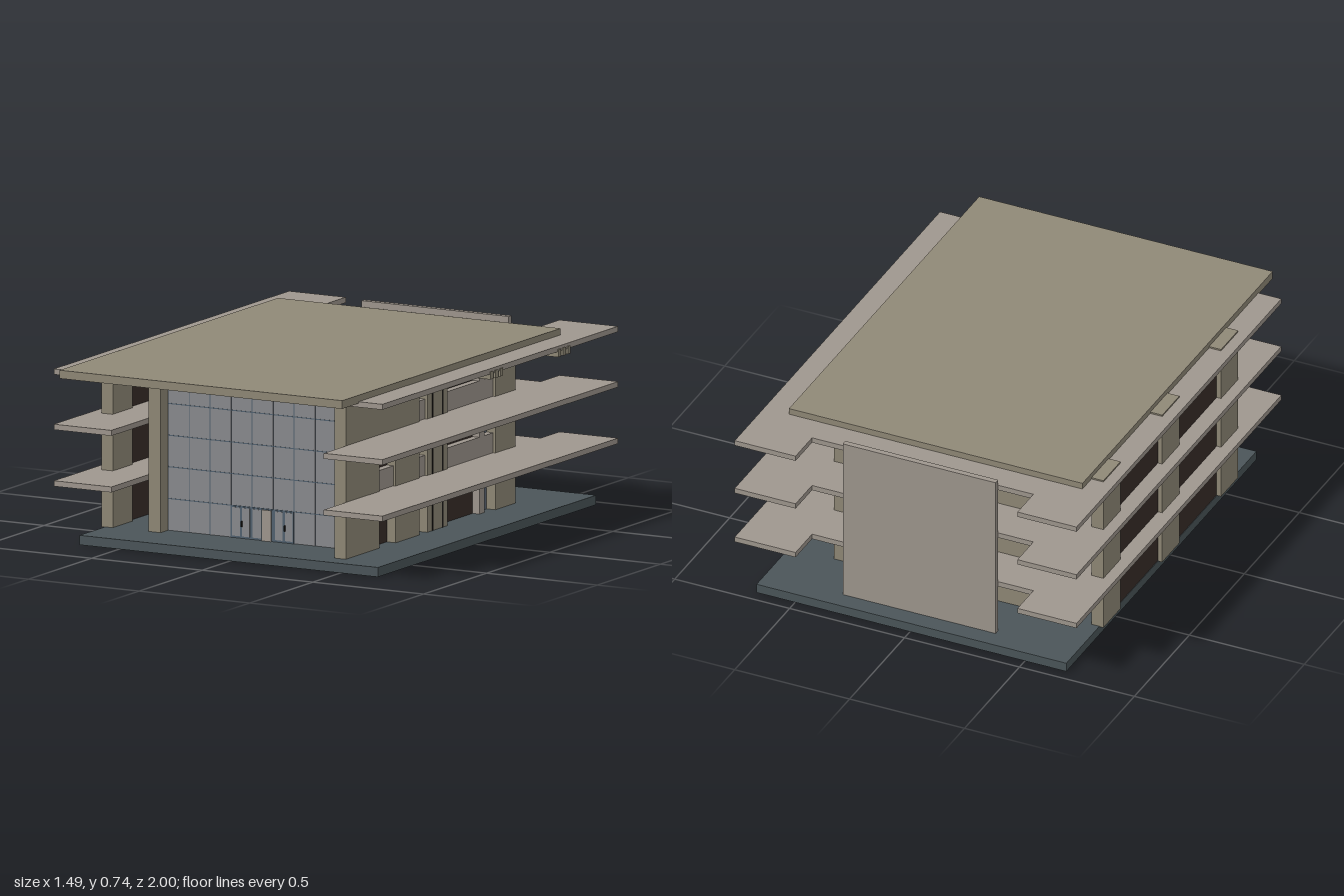
import * as THREE from 'three';

const mat = (color) => new THREE.MeshStandardMaterial({ color, side: THREE.DoubleSide });

export function createModel() {
  const model = new THREE.Group();
  const tan = mat(0x908977), concrete = mat(0x9f978e), slate = mat(0x4b5559), glass = mat(0x8a8b8e),
    frame = mat(0x526270), blue = mat(0x5d6878), brown = mat(0x382d29), black = mat(0x1c1a19);

  // box given by its limits on each axis
  const box = (name, material, x0, x1, y0, y1, z0, z1, parent = model) => {
    const mesh = new THREE.Mesh(new THREE.BoxGeometry(x1 - x0, y1 - y0, z1 - z0), material);
    mesh.position.set((x0 + x1) / 2, (y0 + y1) / 2, (z0 + z1) / 2);
    mesh.name = name;
    parent.add(mesh);
  };
  const group = (name) => {
    const g = new THREE.Group();
    g.name = name;
    model.add(g);
    return g;
  };

  box('base', slate, -0.68, 0.668, 0, 0.038, -0.95, 0.78);
  box('roof', tan, -0.645, 0.632, 0.705, 0.738, -0.73, 1);
  box('buildingCore', tan, -0.485, 0.425, 0.038, 0.705, -0.65, 0.505);
  box('rearPanel', concrete, -0.335, 0.33, 0.038, 0.737, -0.872, -0.848);

  // Floor slabs: U-shaped, open at the front and notched at the back
  const outline = [[-0.745, 0.87], [-0.485, 0.87], [-0.485, -0.6], [0.425, -0.6], [0.425, 0.5], [0.475, 0.5],
    [0.475, 0.87], [0.74, 0.87], [0.74, -0.998], [0.475, -0.998], [0.475, -0.848], [-0.488, -0.848],
    [-0.488, -0.993], [-0.745, -0.993]];
  const slabShape = new THREE.Shape(outline.map(([x, z]) => new THREE.Vector2(x, -z)));
  const slabGeometry = new THREE.ExtrudeGeometry(slabShape, { depth: 0.022, bevelEnabled: false });
  slabGeometry.rotateX(-Math.PI / 2);
  [0.243, 0.469, 0.69].forEach((y) => {
    const slab = new THREE.Mesh(slabGeometry, concrete);
    slab.position.y = y;
    slab.name = 'floorSlab';
    model.add(slab);
  });

  // Front portal: the left wall runs further forward than the right pier
  box('frontPierRight', tan, -0.485, -0.43, 0.038, 0.705, 0.5, 0.575);
  box('frontLintel', tan, -0.43, 0.423, 0.672, 0.705, 0.5, 0.575);

  // Curtain wall with mullions and transoms
  const wall = group('curtainWall');
  box('frontGlass', glass, -0.43, 0.423, 0.038, 0.672, 0.5, 0.515, wall);
  for (let i = 0; i <= 9; i++) {
    const x = -0.43 + i * 0.0948, w = i % 2 ? 0.0006 : 0.002;
    box('mullion', frame, x - w, x + w, 0.038, 0.672, 0.51, 0.516, wall);
  }
  [0.165, 0.292, 0.418, 0.545, 0.67].forEach((y) =>
    box('transom', frame, -0.43, 0.423, y - 0.002, y + 0.002, 0.51, 0.516, wall));

  // Entrance doors either side of a central post
  const entrance = group('entrance');
  box('doorSurround', frame, -0.145, 0.138, 0.038, 0.165, 0.51, 0.52, entrance);
  box('centrePost', concrete, -0.002, 0.04, 0.038, 0.162, 0.51, 0.526, entrance);
  box('sideLight', glass, -0.046, -0.008, 0.046, 0.16, 0.51, 0.522, entrance);
  [-0.137, -0.092, 0.056, 0.101].forEach((x, i) => {
    box('doorLeaf', glass, x, x + 0.034, 0.046, 0.16, 0.51, 0.522, entrance);
    if (i % 2) box('doorHandle', black, x - 0.002, x + 0.002, 0.085, 0.108, 0.52, 0.53, entrance);
  });

  // Left wall: solid tan lengths [z0, z1, y0, y1] between recessed window bays
  const left = group('leftWall');
  [[0.43, 0.695, 0.038, 0.705], [0.3, 0.43, 0.47, 0.705], [0.11, 0.3, 0.038, 0.705], [-0.11, 0.05, 0.038, 0.705],
    [-0.65, -0.49, 0.038, 0.705], [-0.49, 0.11, 0.662, 0.705]].forEach(([z0, z1, y0, y1]) =>
    box('wallLength', tan, 0.423, 0.475, y0, y1, z0, z1, left));
  [0.007, -0.07].forEach((z) => box('pierSlit', black, 0.47, 0.476, 0.038, 0.66, z - 0.005, z + 0.005, left));

  // Window bays: [z0, z1, lower panel, storeys, mullions]
  const bays = [[0.3, 0.43, brown, 2, 1], [0.05, 0.11, blue, 3, 0], [-0.38, -0.11, brown, 3, 2],
    [-0.49, -0.42, blue, 3, 0]];
  const levels = [[0.038, 0.038, 0.165, 0.244], [0.265, 0.345, 0.39, 0.469], [0.49, 0.57, 0.615, 0.662]];
  bays.forEach(([z0, z1, lower, storeys, mullions]) => {
    levels.slice(0, storeys).forEach(([floor, sill, mid, head], i) => {
      if (i) box('spandrel', concrete, 0.42, 0.465, floor, sill, z0, z1, left);
      box('lowerPane', lower, 0.42, 0.435, sill, mid, z0, z1, left);
      box('upperPane', glass, 0.42, 0.435, mid, head, z0, z1, left);
      box('windowRail', frame, 0.42, 0.438, mid - 0.003, mid + 0.003, z0, z1, left);
      for (let k = 1; k <= mullions; k++) {
        const z = z0 + (z1 - z0) * k / (mullions + 1);
        box('windowMullion', frame, 0.42, 0.437, mid, head, z - 0.001, z + 0.001, left);
      }
    });
  });
  levels.forEach(([floor, , , head]) =>
    box('windowPier', concrete, 0.42, 0.465, floor, head, -0.42, -0.38, left));

  // Right side: outer columns with dark infill panels between them
  [-0.57, -0.035, 0.5].forEach((z) =>
    box('sideColumn', tan, -0.697, -0.645, 0.036, 0.718, z - 0.078, z + 0.078));
  [[-0.492, -0.113], [0.043, 0.422]].forEach(([z0, z1]) =>
    box('infillPanel', brown, -0.678, -0.662, 0.038, 0.69, z0, z1));

  // Bracket beams below the top slab on the left
  [-0.03, -0.565].forEach((centre) => {
    for (let k = -1; k <= 1; k++) {
      const z = centre + k * 0.038;
      box('bracketBeam', tan, 0.47, 0.744, 0.669, 0.7, z - 0.011, z + 0.011);
    }
  });

  return model;
}
